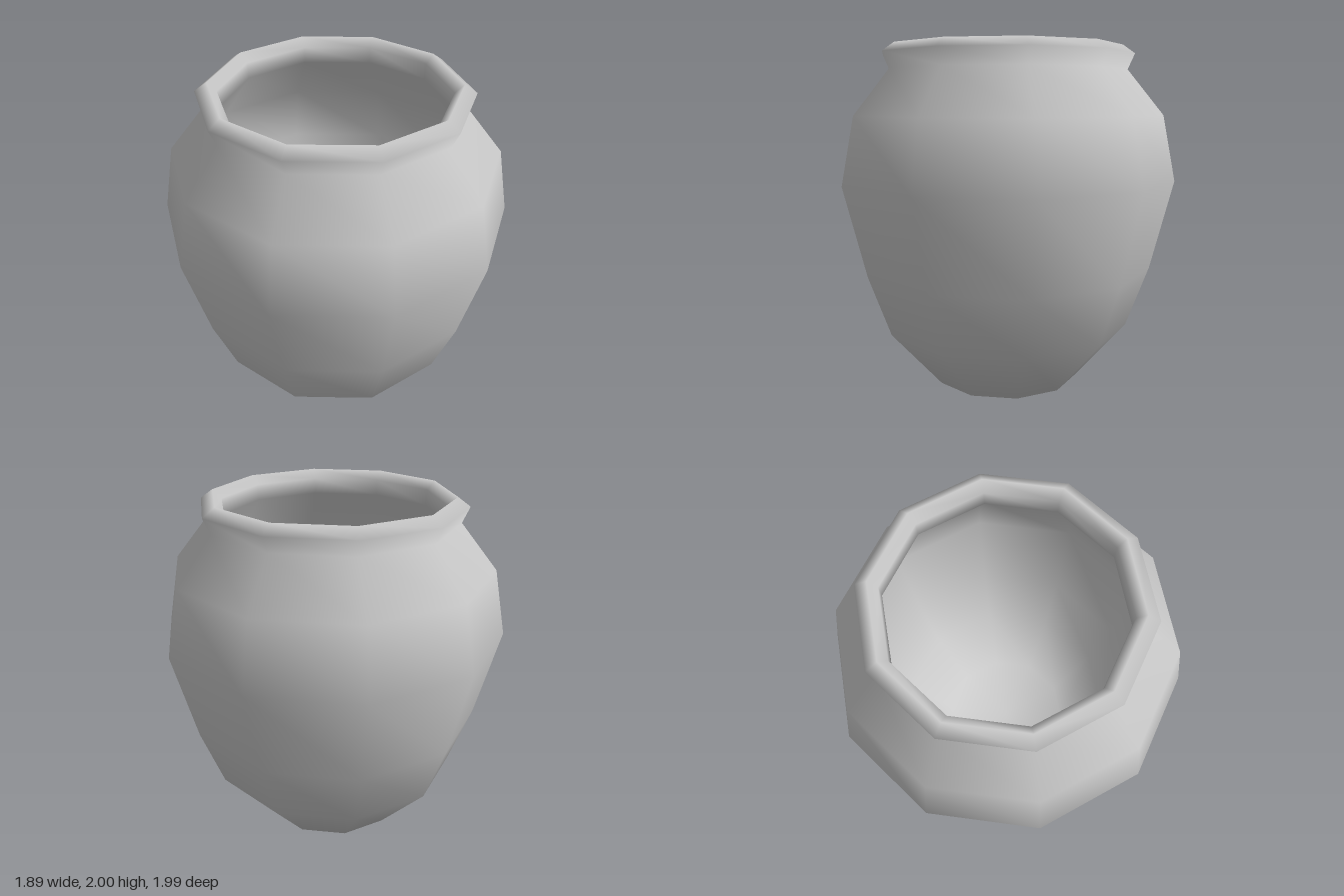
import * as THREE from 'three';

const SIDES = 10;

// Profiles are [radius, height]; radius is measured to the corners of the decagon.
const OUTER = [
  [0, 0], [0.43, 0], [0.735, 0.345], [0.865, 0.7], [0.995, 1.22],
  [0.92, 1.6], [0.71, 1.86], [0.75, 1.95], [0.68, 2],
];
const INNER = [
  [0.63, 1.95], [0.625, 1.86], [0.84, 1.57], [0.91, 1.22],
  [0.79, 0.72], [0.66, 0.39], [0.4, 0.08], [0, 0.08],
];

export function createModel() {
  const group = new THREE.Group();
  group.name = 'jar';

  // One continuous wall: base, belly, neck and lip, then down the inside to the floor
  const profile = [...OUTER, ...INNER].map(([r, y]) => new THREE.Vector2(r, y));
  const jar = new THREE.Mesh(
    new THREE.LatheGeometry(profile, SIDES),
    new THREE.MeshStandardMaterial({ color: 0xcccccc }),
  );
  jar.name = 'jarBody';
  group.add(jar);

  return group;
}
